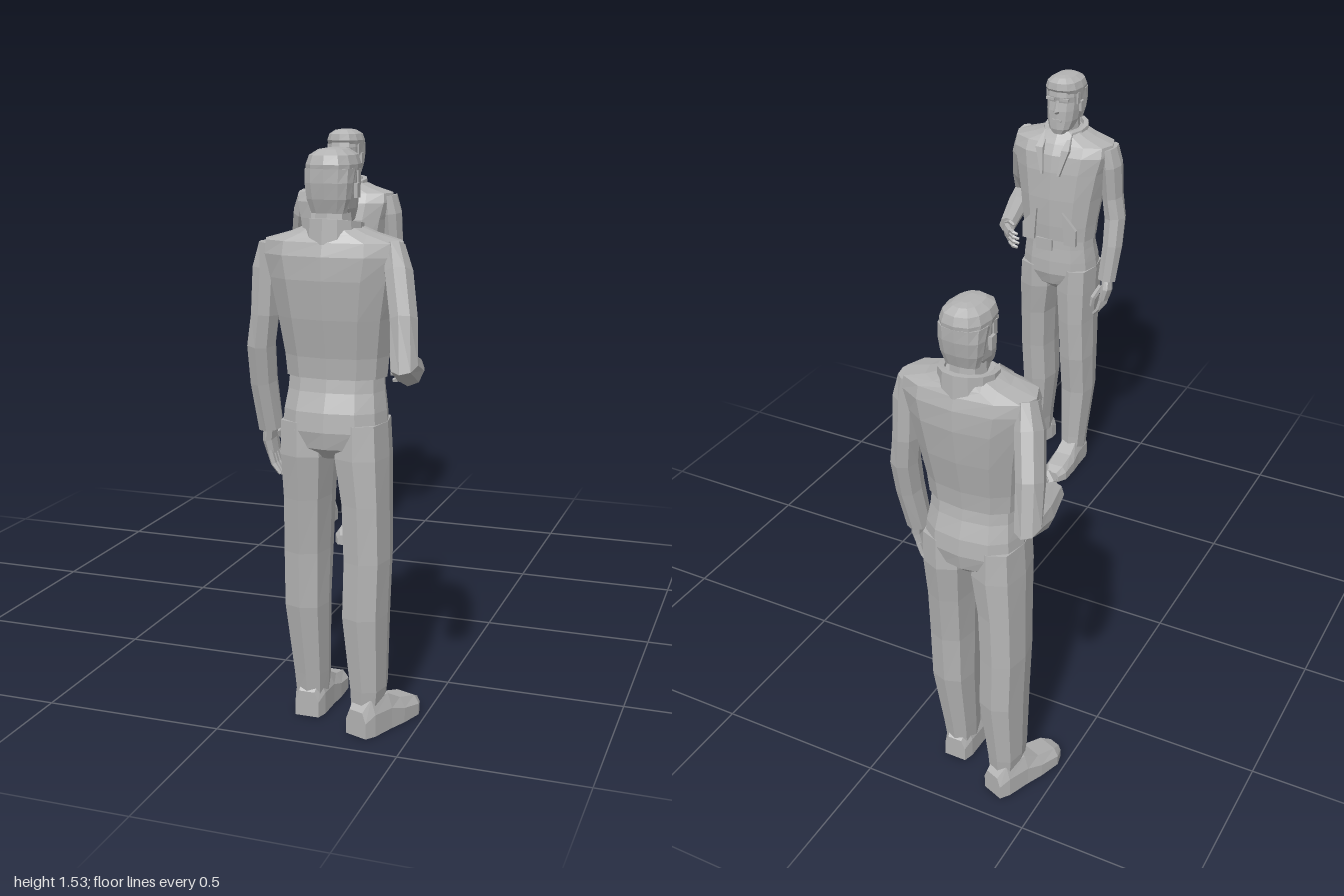
import * as THREE from 'three';

const grey = new THREE.MeshStandardMaterial({ color: 0xb2b2b2, flatShading: true });
grey.name = 'grey';
const V = (x, y, z) => new THREE.Vector3(x, y, z);

// Joins rings of equal point count into a closed, outward-facing solid.
function loft(rings) {
  const tris = [];
  const n = rings[0].length;
  for (let i = 0; i < rings.length - 1; i++) {
    for (let j = 0; j < n; j++) {
      const k = (j + 1) % n, a = rings[i], b = rings[i + 1];
      tris.push([a[j], a[k], b[j]], [a[k], b[k], b[j]]);
    }
  }
  const first = rings[0], last = rings[rings.length - 1];
  for (let j = 1; j < n - 1; j++) {
    tris.push([first[0], first[j + 1], first[j]], [last[0], last[j], last[j + 1]]);
  }
  let volume = 0;
  for (const [a, b, c] of tris) volume += a.dot(b.clone().cross(c));
  const pos = [];
  for (const [a, b, c] of tris) {
    for (const p of volume < 0 ? [a, c, b] : [a, b, c]) pos.push(p.x, p.y, p.z);
  }
  const geo = new THREE.BufferGeometry();
  geo.setAttribute('position', new THREE.Float32BufferAttribute(pos, 3));
  geo.computeVertexNormals();
  return geo;
}

// Horizontal rings: [y, xMin, xMax, zBack, zFront], slightly squared off.
function body(rows, n = 12, power = 0.8) {
  const soft = (v) => Math.sign(v) * Math.pow(Math.abs(v), power);
  return loft(rows.map(([y, x0, x1, z0, z1]) => Array.from({ length: n }, (_, j) => {
    const t = (j / n) * Math.PI * 2;
    return V((x0 + x1) / 2 + soft(Math.cos(t)) * (x1 - x0) / 2, y,
      (z0 + z1) / 2 + soft(Math.sin(t)) * (z1 - z0) / 2);
  })));
}
const symmetric = (rows) => rows.map(([y, w, z0, z1]) => [y, -w, w, z0, z1]);

// Limb along a path: [x, y, z, radius along ref, radius across].
function limb(rows, ref = V(1, 0, 0), n = 8) {
  const pts = rows.map((r) => V(r[0], r[1], r[2]));
  return loft(rows.map((r, i) => {
    const t = V(0, 0, 0);
    if (i > 0) t.add(pts[i].clone().sub(pts[i - 1]).normalize());
    if (i < pts.length - 1) t.add(pts[i + 1].clone().sub(pts[i]).normalize());
    t.normalize();
    const a = ref.clone().addScaledVector(t, -ref.dot(t)).normalize();
    const b = t.clone().cross(a);
    return Array.from({ length: n }, (_, j) => {
      const q = (j / n) * Math.PI * 2;
      return pts[i].clone().addScaledVector(a, Math.cos(q) * r[3]).addScaledVector(b, Math.sin(q) * r[4]);
    });
  }));
}

function add(group, name, geo, x = 0, y = 0, z = 0) {
  const mesh = new THREE.Mesh(geo, grey);
  mesh.name = name;
  mesh.position.set(x, y, z);
  group.add(mesh);
  return mesh;
}

// Shoe pointing along +z, heel at the origin.
function shoe() {
  const rows = [[0, 0.033, 0.07], [0.03, 0.042, 0.1], [0.1, 0.043, 0.095],
    [0.15, 0.047, 0.068], [0.215, 0.045, 0.052], [0.245, 0.026, 0.036]];
  return loft(rows.map(([z, w, h]) => [V(-w, 0, z), V(w, 0, z), V(w, h * 0.6, z),
    V(w * 0.65, h, z), V(-w * 0.65, h, z), V(-w, h * 0.6, z)]));
}

// Upright collar open at the front, ending in two pointed lapels.
function collar() {
  const rings = [];
  const lapel = (s) => [[0.032, 1.185, 0.004], [0.05, 1.275, 0.014]].map(([x, y, w], i) => {
    const z = i ? 0.09 : 0.108;
    return [V(s * (x - w), y, z - 0.03), V(s * (x + w), y, z - 0.03),
      V(s * (x + w), y + 0.01, z + 0.005), V(s * (x - w), y + 0.01, z + 0.005)];
  });
  rings.push(...lapel(-1));
  for (let k = 0; k <= 10; k++) {
    const t = Math.PI / 2 + 0.75 + (k / 10) * (Math.PI * 2 - 1.5);
    const c = Math.cos(t), s = Math.sin(t), top = 1.342 - 0.012 * s;
    const p = (r, y) => V(c * r, y, s * r * 1.05 - 0.02);
    rings.push([p(0.058, 1.29), p(0.082, 1.29), p(0.078, top), p(0.062, top)]);
  }
  rings.push(...lapel(1).reverse().map(([a, b, c, d]) => [a, b, c, d]));
  return loft(rings);
}

function makeHead() {
  const g = new THREE.Group();
  g.name = 'head';
  add(g, 'neck', body(symmetric([[1.28, 0.052, -0.075, 0.035], [1.38, 0.045, -0.065, 0.035]]), 8));
  add(g, 'face', body(symmetric([[1.327, 0.024, 0.005, 0.056], [1.345, 0.042, -0.03, 0.062],
    [1.375, 0.053, -0.06, 0.061], [1.41, 0.057, -0.075, 0.06], [1.44, 0.058, -0.08, 0.055],
    [1.46, 0.058, -0.08, 0.06], [1.495, 0.055, -0.08, 0.055]])));
  add(g, 'hairTop', body(symmetric([[1.47, 0.064, -0.093, 0.052], [1.485, 0.065, -0.095, 0.063],
    [1.508, 0.057, -0.088, 0.06], [1.522, 0.035, -0.065, 0.04], [1.526, 0.012, -0.04, 0.015]])));
  add(g, 'hairBack', body(symmetric([[1.365, 0.047, -0.074, -0.03], [1.4, 0.058, -0.086, -0.018],
    [1.44, 0.063, -0.093, -0.006], [1.475, 0.064, -0.094, 0.02]])));
  add(g, 'nose', limb([[0, 1.448, 0.054, 0.006, 0.006], [0, 1.412, 0.066, 0.011, 0.011],
    [0, 1.404, 0.06, 0.009, 0.007]], V(1, 0, 0), 4));
  add(g, 'mouth', new THREE.BoxGeometry(0.036, 0.009, 0.008), 0, 1.377, 0.06);
  for (const s of [-1, 1]) {
    add(g, 'ear', new THREE.BoxGeometry(0.01, 0.036, 0.022), s * 0.061, 1.42, -0.012);
    add(g, 'brow', new THREE.BoxGeometry(0.032, 0.009, 0.012), s * 0.026, 1.453, 0.054);
    add(g, 'sideburn', new THREE.BoxGeometry(0.006, 0.04, 0.018), s * 0.058, 1.452, 0.008);
  }
  return g;
}

function makeLeftArm() {
  const g = new THREE.Group();
  g.name = 'leftArm';
  add(g, 'sleeve', limb([[0.17, 1.285, -0.02, 0.025, 0.05], [0.178, 1.22, -0.022, 0.037, 0.055],
    [0.182, 1.1, -0.032, 0.036, 0.05], [0.194, 1.02, -0.03, 0.038, 0.047],
    [0.196, 0.92, -0.01, 0.036, 0.045], [0.187, 0.79, 0.014, 0.034, 0.037]]));
  add(g, 'palm', limb([[0.19, 0.8, 0.016, 0.018, 0.025], [0.195, 0.76, 0.028, 0.018, 0.036],
    [0.187, 0.72, 0.034, 0.014, 0.036]]));
  for (let i = 0; i < 4; i++) {
    const z = 0.006 + i * 0.018;
    add(g, 'finger', limb([[0.188, 0.725, z, 0.01, 0.009], [0.178, 0.69, z + 0.002, 0.009, 0.008],
      [0.158, 0.656 + Math.abs(i - 1.4) * 0.006, z, 0.006, 0.005]], V(1, 0, 0), 5));
  }
  add(g, 'thumb', limb([[0.18, 0.775, 0.045, 0.011, 0.011], [0.16, 0.735, 0.068, 0.01, 0.01],
    [0.153, 0.7, 0.07, 0.006, 0.006]], V(1, 0, 0), 5));
  return g;
}

function makeRightArm() {
  const g = new THREE.Group();
  g.name = 'rightArm';
  add(g, 'sleeve', limb([[-0.165, 1.285, -0.02, 0.025, 0.045], [-0.182, 1.22, -0.045, 0.037, 0.055],
    [-0.212, 1.11, -0.1, 0.036, 0.052], [-0.225, 1.01, -0.138, 0.036, 0.046],
    [-0.212, 0.98, -0.05, 0.038, 0.042], [-0.183, 0.957, 0.085, 0.03, 0.032]]));
  const up = V(0, 1, 0);
  add(g, 'palm', limb([[-0.184, 0.957, 0.08, 0.022, 0.016], [-0.168, 0.953, 0.11, 0.032, 0.016],
    [-0.145, 0.945, 0.132, 0.032, 0.013]], up));
  for (let i = 0; i < 4; i++) {
    const y = 0.917 + i * 0.017;
    add(g, 'finger', limb([[-0.148, y, 0.13, 0.008, 0.009], [-0.125, y - 0.004, 0.147, 0.008, 0.008],
      [-0.1 - Math.abs(i - 1.5) * 0.006, y - 0.008, 0.145, 0.005, 0.005]], up, 5));
  }
  add(g, 'thumb', limb([[-0.175, 0.975, 0.1, 0.01, 0.01], [-0.152, 0.99, 0.118, 0.009, 0.009],
    [-0.13, 0.985, 0.13, 0.005, 0.005]], up, 5));
  return g;
}

function makeLegs() {
  const g = new THREE.Group();
  g.name = 'trousers';
  add(g, 'pelvis', body(symmetric([[0.735, 0.03, -0.06, 0.055], [0.765, 0.1, -0.092, 0.092],
    [0.81, 0.141, -0.1, 0.106], [0.86, 0.137, -0.095, 0.105], [0.91, 0.13, -0.078, 0.1],
    [0.96, 0.126, -0.07, 0.097]])));
  add(g, 'rightLeg', body([[0.06, -0.142, -0.06, -0.088, 0.03], [0.12, -0.15, -0.058, -0.095, 0.035],
    [0.32, -0.153, -0.036, -0.11, 0.055], [0.47, -0.156, -0.038, -0.105, 0.065],
    [0.62, -0.151, -0.03, -0.1, 0.08], [0.74, -0.147, -0.008, -0.098, 0.098],
    [0.83, -0.14, -0.01, -0.09, 0.1]], 8, 0.72));
  add(g, 'leftLeg', body([[0.06, 0.033, 0.118, -0.022, 0.085], [0.12, 0.03, 0.122, -0.03, 0.083],
    [0.32, 0.024, 0.14, -0.06, 0.082], [0.47, 0.022, 0.141, -0.065, 0.1],
    [0.62, 0.016, 0.137, -0.08, 0.106], [0.74, 0.006, 0.14, -0.096, 0.106],
    [0.83, 0.01, 0.14, -0.09, 0.102]], 8, 0.72));
  add(g, 'leftShoe', shoe(), 0.075, 0, -0.025);
  add(g, 'rightShoe', shoe(), -0.09, 0, -0.1).rotation.y = -0.36;
  add(g, 'beltBuckle', new THREE.BoxGeometry(0.062, 0.044, 0.02), -0.022, 0.926, 0.099);
  return g;
}

function makeJacket() {
  const g = new THREE.Group();
  g.name = 'jacket';
  add(g, 'torso', body(symmetric([[0.945, 0.134, -0.075, 0.107], [1.0, 0.139, -0.08, 0.11],
    [1.1, 0.153, -0.1, 0.11], [1.2, 0.172, -0.113, 0.104], [1.26, 0.188, -0.113, 0.094],
    [1.295, 0.185, -0.104, 0.075], [1.315, 0.115, -0.095, 0.06], [1.335, 0.065, -0.085, 0.045]])));
  add(g, 'collar', collar());
  // Loose front hems either side of the opening
  for (const s of [-1, 1]) {
    const hem = new THREE.Shape();
    [[0.05, 1.06], [0.06, 0.94], [0.105, 0.94], [0.105, 1.0]].forEach(([x, y], i) =>
      (i ? hem.lineTo(s * x, y) : hem.moveTo(s * x, y)));
    add(g, 'frontHem', new THREE.ExtrudeGeometry(hem, { depth: 0.014, bevelEnabled: false }), 0, 0, 0.1);
  }
  return g;
}

function makeMan() {
  const g = new THREE.Group();
  g.name = 'standingMan';
  g.add(makeHead(), makeJacket(), makeLeftArm(), makeRightArm(), makeLegs());
  return g;
}

export function createModel() {
  const model = new THREE.Group();
  model.name = 'twoStandingMen';
  // Two matching figures facing each other, offset sideways
  for (const s of [-1, 1]) {
    const man = makeMan();
    man.position.set(s * 0.273, 0, s * 0.82);
    if (s > 0) man.rotation.y = Math.PI;
    model.add(man);
  }
  return model;
}
